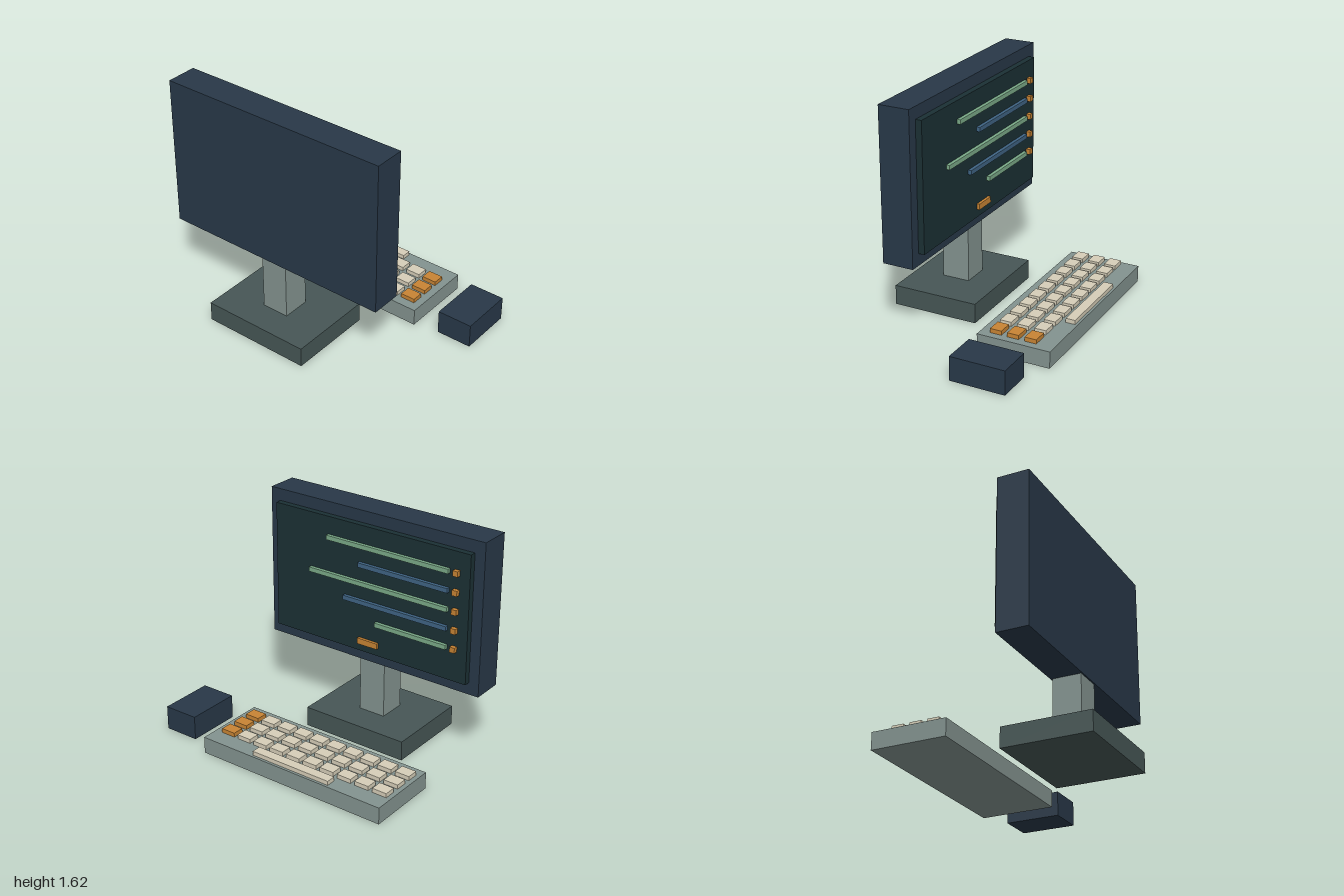
import * as THREE from 'three';

const paint = (color) => new THREE.MeshStandardMaterial({ color });
const navy = paint(0x283848), slate = paint(0x465655), grey = paint(0x83938f);
const glass = paint(0x1b3034), cream = paint(0xd6ceb8), orange = paint(0xc88434);
const green = paint(0x7aaa88), blue = paint(0x3f6484);

// Box given by its limits along each axis
function box(name, material, [x0, x1], [y0, y1], [z0, z1]) {
  const mesh = new THREE.Mesh(new THREE.BoxGeometry(x1 - x0, y1 - y0, z1 - z0), material);
  mesh.name = name;
  mesh.position.set((x0 + x1) / 2, (y0 + y1) / 2, (z0 + z1) / 2);
  return mesh;
}

function group(name, ...parts) {
  const g = new THREE.Group();
  g.name = name;
  if (parts.length) g.add(...parts);
  return g;
}

function createMonitor() {
  const monitor = group('monitor',
    box('standBase', slate, [-0.55, 0.25], [0, 0.142], [0.045, 0.67]),
    box('standNeck', grey, [-0.25, -0.05], [0.142, 0.54], [0.26, 0.46]),
    box('casing', navy, [-1, 0.7], [0.54, 1.62], [0.247, 0.47]),
    box('screen', glass, [-0.925, 0.625], [0.625, 1.535], [0.203, 0.247]));

  // Lines on the screen, each with a square marker at its start
  [0.185, -0.075, 0.33, 0.045, -0.215].forEach((end, i) => {
    const y = 1.393 - i * 0.133;
    monitor.add(
      box('screenLine', i % 2 ? blue : green, [-0.775, end], [y - 0.016, y + 0.016], [0.178, 0.203]),
      box('lineMarker', orange, [-0.85, -0.812], [y - 0.019, y + 0.019], [0.173, 0.203]));
  });
  monitor.add(box('cursor', orange, [-0.235, -0.075], [0.682, 0.724], [0.183, 0.203]));
  return monitor;
}

function createKeyboard() {
  const keyboard = group('keyboard',
    box('keyboardBody', grey, [-0.872, 0.573], [0, 0.12], [-0.673, -0.147]),
    box('spaceBar', cream, [-0.46, 0.16], [0.12, 0.15], [-0.655, -0.587]));

  // Three rows of ten keys, the last column coloured
  for (let row = 0; row < 3; row++) {
    for (let col = 0; col < 10; col++) {
      const x = -0.84 + col * 0.139, z = -0.55 + row * 0.126;
      keyboard.add(box('key', col === 9 ? orange : cream, [x, x + 0.108], [0.12, 0.15], [z, z + 0.083]));
    }
  }
  return keyboard;
}

export function createModel() {
  return group('desktopComputer',
    createMonitor(),
    createKeyboard(),
    box('mouse', navy, [0.745, 1], [0, 0.172], [-0.578, -0.185]));
}
